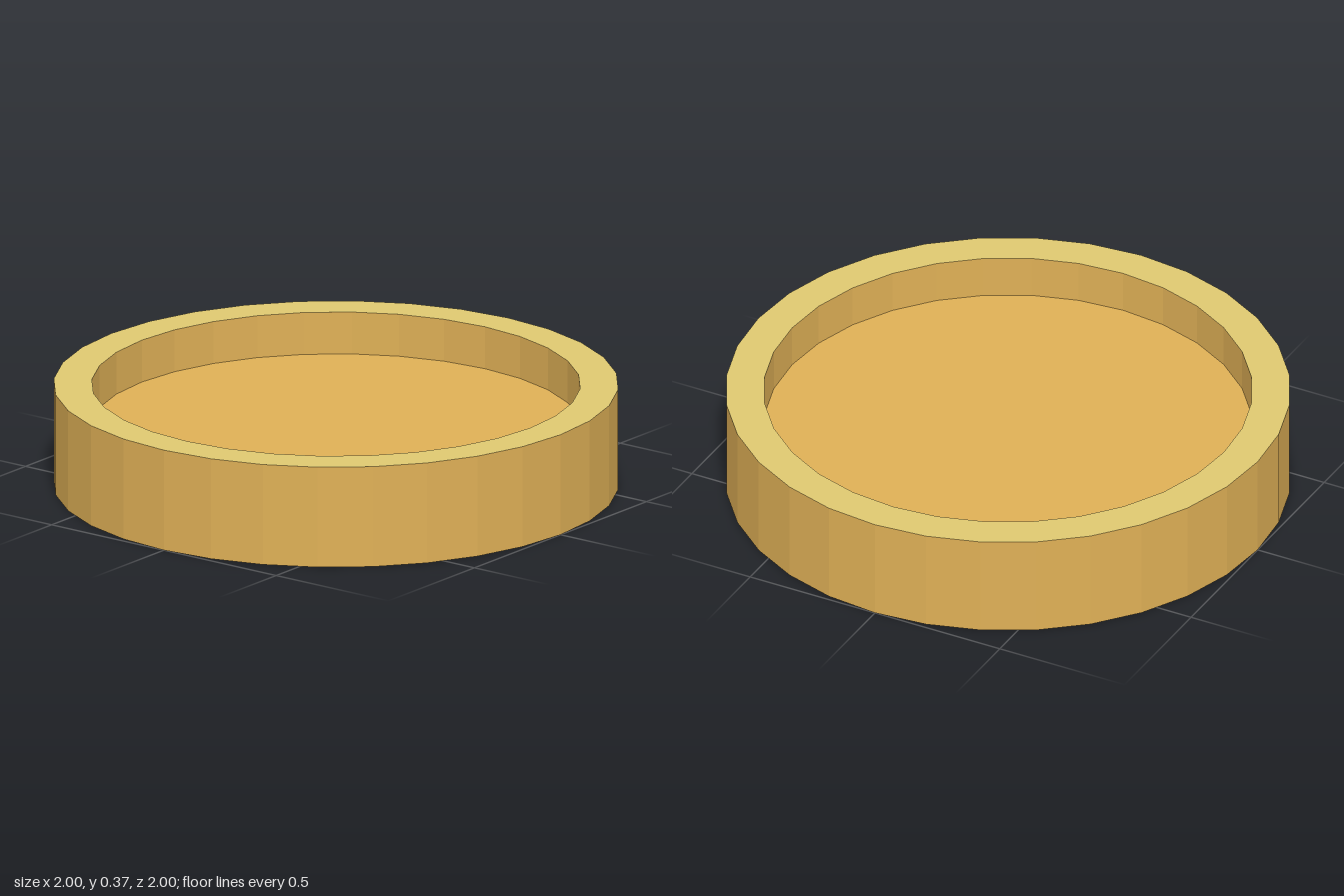
import * as THREE from 'three';

const SIDES = 32, OUTER = 1, INNER = 0.865;
const HEIGHT = 0.37, FLOOR_TOP = 0.215, FLOOR_BOTTOM = 0.15;

// Revolve a profile of [radius, height] points into a faceted mesh
function turned(name, profile, material) {
  const points = profile.map(([r, y]) => new THREE.Vector2(r, y));
  const mesh = new THREE.Mesh(new THREE.LatheGeometry(points, SIDES), material);
  mesh.name = name;
  return mesh;
}

export function createModel() {
  const group = new THREE.Group();
  group.name = 'roundTray';
  const body = new THREE.MeshStandardMaterial({ color: 0xdfb056, flatShading: true });
  const pale = new THREE.MeshStandardMaterial({ color: 0xdfc970, flatShading: true });

  group.add(
    // Recessed underside, foot ring and outer wall
    turned('outerWallAndUnderside', [
      [0, FLOOR_BOTTOM], [INNER, FLOOR_BOTTOM], [INNER, 0], [OUTER, 0], [OUTER, HEIGHT],
    ], body),
    // Pale flat top of the wall
    turned('rim', [[OUTER, HEIGHT], [INNER, HEIGHT]], pale),
    // Inner wall and floor of the upper recess
    turned('innerWallAndFloor', [[INNER, HEIGHT], [INNER, FLOOR_TOP], [0, FLOOR_TOP]], body),
  );
  return group;
}
